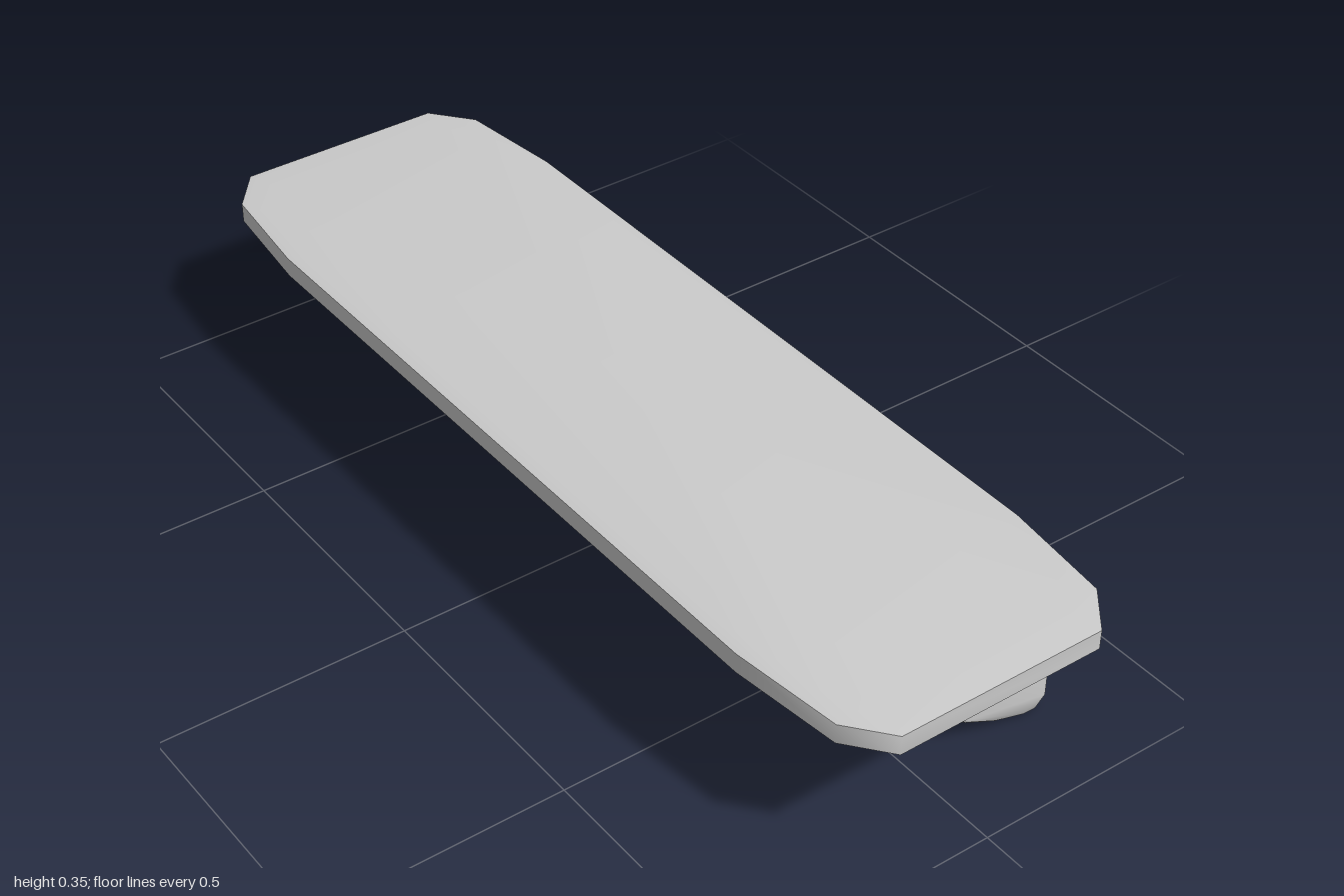
import * as THREE from 'three';
import { toCreasedNormals } from 'three/addons/utils/BufferGeometryUtils.js';

const material = new THREE.MeshStandardMaterial({ color: 0xcccccc });

// Board: one faceted outline, stacked in rings with softly sloped rims
function boardGeometry() {
  const corner = [[0.3, 0.7], [0.275, 0.92], [0.21, 1]];
  const end = [...corner, ...corner.map(([x, z]) => [-x, z]).reverse()];
  const outline = [...end, ...end.map(([x, z]) => [-x, -z])];
  // [scale, height] from the bottom centre to the top centre
  const rings = [[0, 0.296], [0.92, 0.297], [1, 0.306], [1, 0.345], [0.92, 0.353], [0, 0.354]];
  const n = outline.length;
  const positions = [];
  const put = (j, i) => {
    const [s, y] = rings[j];
    const [x, z] = outline[i % n];
    positions.push(x * s, y, z * s);
  };
  for (let j = 0; j < rings.length - 1; j++) {
    for (let i = 0; i < n; i++) {
      if (rings[j + 1][0] > 0) { put(j, i); put(j + 1, i); put(j + 1, i + 1); }
      if (rings[j][0] > 0) { put(j, i); put(j + 1, i + 1); put(j, i + 1); }
    }
  }
  const geometry = new THREE.BufferGeometry();
  geometry.setAttribute('position', new THREE.Float32BufferAttribute(positions, 3));
  return toCreasedNormals(geometry, 0.95);
}

// Bracket: curved triangular plate with rounded rims, centred on z = 0
function bracketGeometry() {
  const thickness = 0.036, bevel = 0.008;
  const profile = [
    [-0.065, 0.295], [-0.082, 0.282], [-0.085, 0.263], [-0.05, 0.206], [-0.005, 0.151],
    [0.05, 0.097], [0.11, 0.056], [0.18, 0.022], [0.245, 0.002], [0.275, 0.001],
    [0.298, 0.024], [0.298, 0.27], [0.288, 0.283], [0.268, 0.295],
  ];
  const shape = new THREE.Shape(profile.map(([x, y]) => new THREE.Vector2(x, y)));
  const geometry = new THREE.ExtrudeGeometry(shape, {
    depth: thickness - 2 * bevel,
    bevelThickness: bevel,
    bevelSize: bevel,
    bevelOffset: -bevel,
    bevelSegments: 3,
  });
  geometry.translate(0, 0, bevel - thickness / 2);
  return toCreasedNormals(geometry, 0.95);
}

export function createModel() {
  const model = new THREE.Group();
  model.name = 'shelf';

  const board = new THREE.Mesh(boardGeometry(), material);
  board.name = 'board';
  model.add(board);

  // Matching bracket near each end
  const bracketShape = bracketGeometry();
  for (const [name, z] of [['frontBracket', 0.8], ['backBracket', -0.8]]) {
    const bracket = new THREE.Mesh(bracketShape, material);
    bracket.name = name;
    bracket.position.z = z;
    model.add(bracket);
  }
  return model;
}
